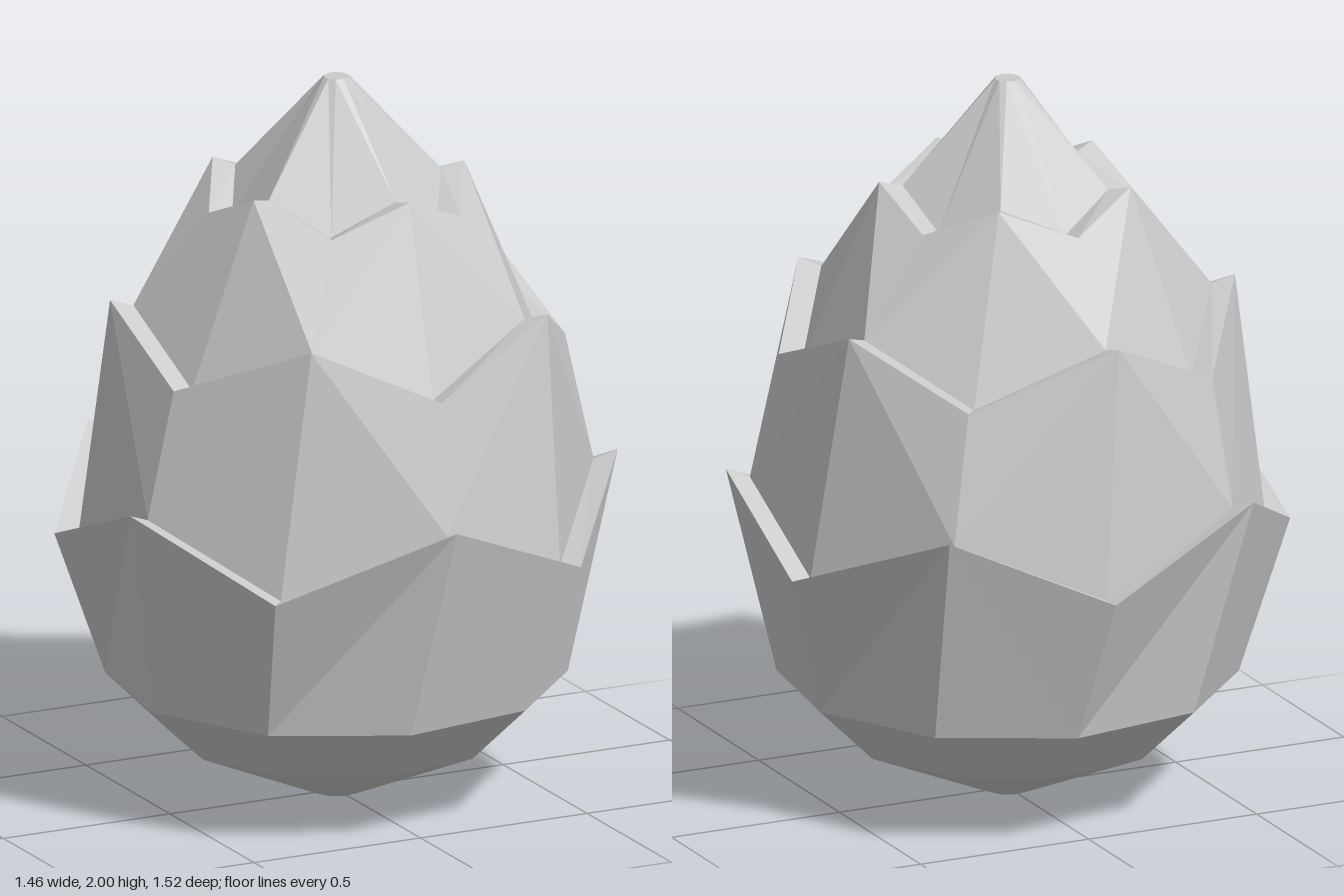
import * as THREE from 'three';

const SIDES = 10;
const rad = THREE.MathUtils.degToRad;

// Ten-cornered ring whose even and odd corners have their own height and angle (degrees from +z towards +x)
const ring = (r, yEven, yOdd, angleEven, angleOdd = angleEven + 36) =>
  Array.from({ length: SIDES }, (_, i) => {
    const a = rad((i % 2 ? angleOdd : angleEven) + 72 * Math.floor(i / 2));
    return new THREE.Vector3(r * Math.sin(a), i % 2 ? yOdd : yEven, r * Math.cos(a));
  });

// Closed loft through rings; each quad's diagonal ends at its higher upper corner
function loft(name, rings, material) {
  const pos = [];
  const tri = (...points) => points.forEach((p) => pos.push(p.x, p.y, p.z));
  for (let j = 0; j < rings.length - 1; j++) {
    for (let i = 0; i < SIDES; i++) {
      const k = (i + 1) % SIDES;
      const a = rings[j][i], b = rings[j][k], c = rings[j + 1][k], d = rings[j + 1][i];
      if (c.y > d.y) { tri(a, b, c); tri(a, c, d); }
      else { tri(a, b, d); tri(b, c, d); }
    }
  }
  const geometry = new THREE.BufferGeometry();
  geometry.setAttribute('position', new THREE.Float32BufferAttribute(pos, 3));
  geometry.computeVertexNormals();
  const mesh = new THREE.Mesh(geometry, material);
  mesh.name = name;
  return mesh;
}

export function createModel() {
  const group = new THREE.Group();
  group.name = 'bud';
  const material = new THREE.MeshStandardMaterial({
    color: 0xcccccc, flatShading: true, side: THREE.DoubleSide,
  });

  // Rings shared by neighbouring parts
  const waist = ring(0.62, 0.33, 0.33, -8);
  const lowerRimInner = ring(0.695, 0.9, 0.735, -1.5, 32.8);
  const middleRimInner = ring(0.555, 1.24, 1.39, 1, 38.5);
  const upperRimInner = ring(0.29, 1.72, 1.635, 6.5);

  // Rounded base with a small flat foot
  const foot = ring(0.065, 0, 0, -8);
  const centre = ring(0, 0, 0, -8);
  group.add(loft('base', [centre, foot, ring(0.447, 0.165, 0.165, -8), waist], material));

  // Three tiers of leaves, each with a zigzag rim folded inwards
  group.add(loft('lowerLeaves',
    [waist, ring(0.76, 0.925, 0.74, -1.5, 32.8), lowerRimInner], material));
  group.add(loft('middleLeaves',
    [lowerRimInner, ring(0.62, 1.25, 1.41, 0.5, 39), middleRimInner], material));
  group.add(loft('upperLeaves',
    [middleRimInner, ring(0.355, 1.735, 1.645, 6.5), upperRimInner], material));

  // Pointed tip with a small flat top
  group.add(loft('tip',
    [upperRimInner, ring(0.035, 2, 2, 6.5), ring(0, 2, 2, 6.5)], material));

  return group;
}
